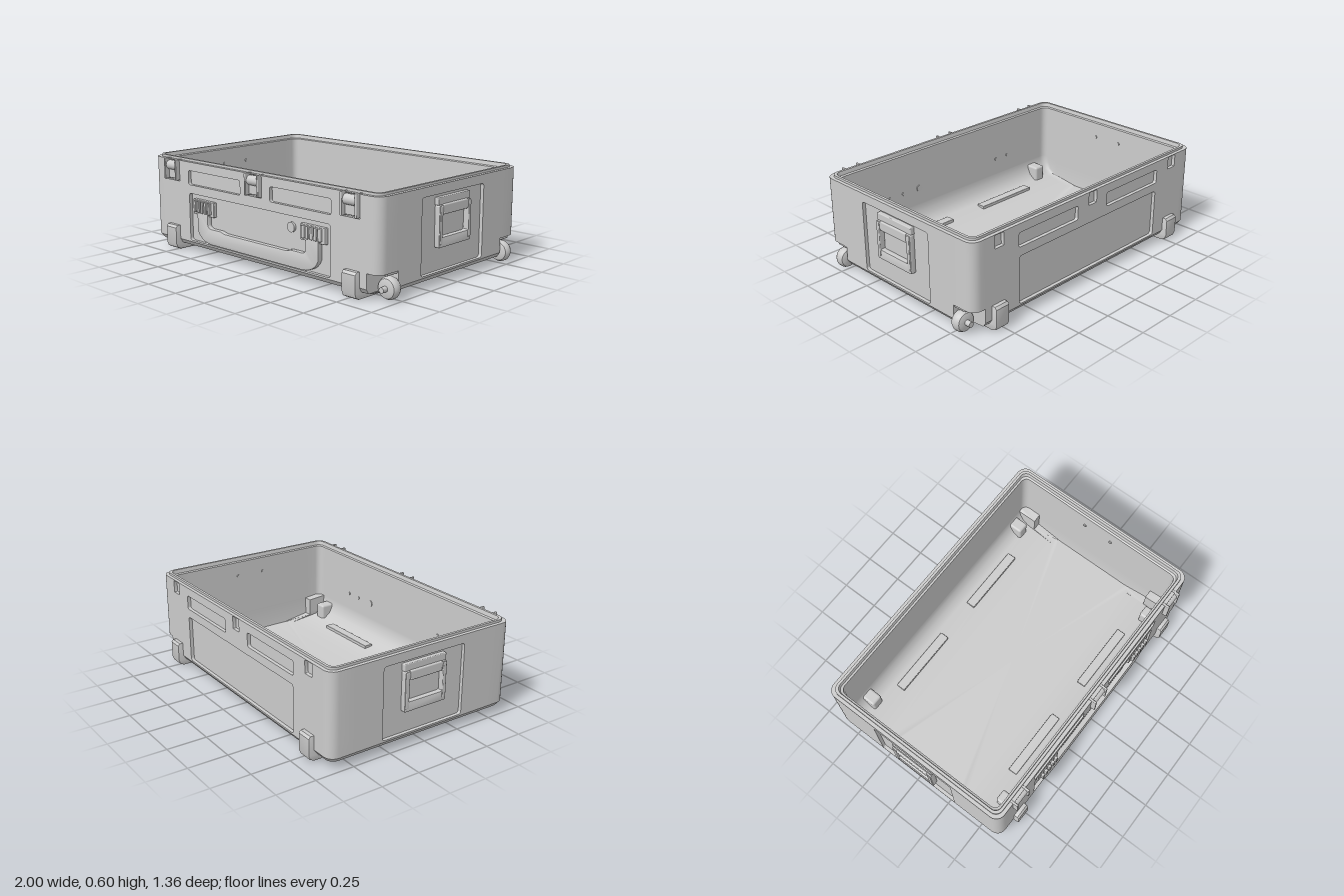
import * as THREE from 'three';
import { toCreasedNormals } from 'three/addons/utils/BufferGeometryUtils.js';
import { RoundedBoxGeometry } from 'three/addons/geometries/RoundedBoxGeometry.js';

const mat = new THREE.MeshStandardMaterial({ color: 0xcccccc });
const HX = 0.97, HZ = 0.645, XC = -0.01; // half sizes and x centre of the shell
const RECESS = 0.022;

function add(parent, name, geo, x = 0, y = 0, z = 0) {
  const m = new THREE.Mesh(geo, mat);
  m.name = name;
  m.position.set(x, y, z);
  parent.add(m);
  return m;
}

// Box given by its limits, with slightly rounded edges
function block(parent, name, x0, x1, y0, y1, z0, z1, r = 0.005) {
  const g = new RoundedBoxGeometry(x1 - x0, y1 - y0, z1 - z0, 2, r);
  return add(parent, name, g, (x0 + x1) / 2, (y0 + y1) / 2, (z0 + z1) / 2);
}

function roundRect(Type, x0, x1, y0, y1, r) {
  const p = new Type();
  p.moveTo(x0 + r, y0).lineTo(x1 - r, y0).quadraticCurveTo(x1, y0, x1, y0 + r);
  p.lineTo(x1, y1 - r).quadraticCurveTo(x1, y1, x1 - r, y1);
  p.lineTo(x0 + r, y1).quadraticCurveTo(x0, y1, x0, y1 - r);
  p.lineTo(x0, y0 + r).quadraticCurveTo(x0, y0, x0 + r, y0);
  return p;
}

function extrude(shape, depth, bevel = 0) {
  const g = new THREE.ExtrudeGeometry(shape, {
    depth, curveSegments: 6, bevelEnabled: bevel > 0, bevelSize: bevel, bevelThickness: bevel, bevelOffset: -bevel, bevelSegments: 2,
  });
  return toCreasedNormals(g, 0.6);
}

// One horizontal outline: four corners of nine points each.
// With notch set, the two wheel corners are cut square.
function ring({ ix, iz = ix, y, notch, inner, centre }) {
  const hx = HX - ix, hz = HZ - iz, r = 0.06 - Math.min(ix, 0.04) * 0.5;
  const xe = inner ? 0.855 : 0.88, ze = inner ? 0.46 : 0.485;
  const pts = [];
  [[1, 1], [-1, 1], [-1, -1], [1, -1]].forEach(([sx, sz]) => {
    const cut = notch && sx > 0;
    let c = [[hx, Math.min(ze, hz - r)]];
    for (let i = 0; i <= 6; i++) {
      const a = (i / 6) * Math.PI / 2;
      c.push(cut ? [xe, ze] : [hx - r + r * Math.cos(a), hz - r + r * Math.sin(a)]);
    }
    c.push([Math.min(xe, hx - r), hz]);
    if (sx * sz < 0) c.reverse();
    c.forEach(([x, z]) => pts.push(centre ? new THREE.Vector3(XC, y, 0) : new THREE.Vector3(XC + sx * x, y, sz * z)));
  });
  return pts;
}

// Shell loft from under the base, over the rim and down to the floor.
// Bands marked open leave the flat sides for the recessed walls.
function shellGeometry() {
  const profile = [
    { centre: true, ix: 0, y: 0.03 },
    { ix: 0.06, y: 0.03, notch: true },
    { ix: 0.02, y: 0.042, notch: true },
    { ix: 0, y: 0.07, notch: true, open: true },
    { ix: 0, y: 0.16, notch: true, open: true },
    { ix: 0, y: 0.16, open: true },
    { ix: 0, y: 0.585 },
    { ix: 0.022, y: 0.585 },
    { ix: 0.022, y: 0.6 },
    { ix: 0.038, y: 0.6 },
    { ix: 0.043, y: 0.575 },
    { ix: 0.055, y: 0.57, inner: true },
    { ix: 0.058, y: 0.2, inner: true },
    { ix: 0.058, y: 0.19, inner: true, notch: true },
    { ix: 0.058, iz: 0.066, y: 0.15, inner: true, notch: true },
    { ix: 0.06, iz: 0.09, y: 0.105, inner: true, notch: true },
    { ix: 0.062, iz: 0.13, y: 0.075, inner: true, notch: true },
    { ix: 0.065, iz: 0.335, y: 0.045, inner: true },
    { centre: true, ix: 0, y: 0.045 },
  ];
  const rings = profile.map(ring), pos = [];
  const tri = (a, b, c) => {
    const n = b.clone().sub(a).cross(c.clone().sub(a));
    if (n.length() > 1e-9) [a, b, c].forEach((p) => pos.push(p.x, p.y, p.z));
  };
  for (let k = 0; k < rings.length - 1; k++) {
    for (let i = 0; i < 36; i++) {
      if (profile[k].open && i % 9 === 8) continue;
      const j = (i + 1) % 36, A = rings[k], B = rings[k + 1];
      tri(A[i], B[i], A[j]);
      tri(A[j], B[i], B[j]);
    }
  }
  const g = new THREE.BufferGeometry();
  g.setAttribute('position', new THREE.Float32BufferAttribute(pos, 3));
  return toCreasedNormals(g, 0.6);
}

// Flat outer wall with recesses, local z pointing outwards
function wall(parent, name, angle, half, out, recesses) {
  const g = new THREE.Group();
  g.name = name;
  g.position.x = XC;
  g.rotation.y = angle;
  const s = new THREE.Shape();
  s.moveTo(-half, 0.07).lineTo(half, 0.07).lineTo(half, 0.585).lineTo(-half, 0.585).closePath();
  recesses.forEach((r) => s.holes.push(roundRect(THREE.Path, ...r)));
  add(g, name + 'Skin', extrude(s, RECESS), 0, 0, out - RECESS);
  add(g, name + 'RecessFloor', new THREE.BoxGeometry(half * 2, 0.515, 0.008), 0, 0.3275, out - RECESS - 0.004);
  parent.add(g);
  return g;
}

function latch(parent, u) {
  for (const s of [-1, 1]) block(parent, 'latchCheek', u + s * 0.054 - 0.007, u + s * 0.054 + 0.007, 0.455, 0.59, 0.62, 0.675);
  const barrel = add(parent, 'latchBarrel', new THREE.CylinderGeometry(0.03, 0.03, 0.1, 20), u, 0.545, 0.637);
  barrel.rotation.z = Math.PI / 2;
  block(parent, 'latchPlate', u - 0.05, u + 0.05, 0.46, 0.54, 0.62, 0.645);
}

function sideHandle(parent) {
  const frame = roundRect(THREE.Shape, -0.15, 0.15, 0.22, 0.465, 0.01);
  frame.holes.push(roundRect(THREE.Path, -0.122, 0.122, 0.28, 0.42, 0.012));
  add(parent, 'sideHandleFrame', extrude(frame, 0.026, 0.005), 0, 0, HX - 0.017);
  block(parent, 'sideHandleGrip', -0.115, 0.115, 0.41, 0.47, 0.945, 0.988, 0.008);
  block(parent, 'sideHandleHinge', -0.15, 0.15, 0.465, 0.51, 0.945, 0.975);
  for (const s of [-1, 1]) block(parent, 'sideHandleArm', s * 0.133 - 0.013, s * 0.133 + 0.013, 0.24, 0.46, 0.95, 0.988);
}

function frontHandle(parent) {
  // U-shaped carrying handle
  const s = new THREE.Shape();
  s.moveTo(-0.53, 0.3).lineTo(-0.53, 0.16).quadraticCurveTo(-0.5, 0.09, -0.4, 0.085);
  s.lineTo(0.4, 0.085).quadraticCurveTo(0.5, 0.09, 0.53, 0.16).lineTo(0.53, 0.3).lineTo(0.43, 0.3);
  s.lineTo(0.43, 0.21).quadraticCurveTo(0.425, 0.19, 0.4, 0.187).lineTo(0.31, 0.187).lineTo(0.27, 0.177);
  s.lineTo(-0.27, 0.177).lineTo(-0.31, 0.187).lineTo(-0.4, 0.187).quadraticCurveTo(-0.425, 0.19, -0.43, 0.21);
  s.lineTo(-0.43, 0.3).closePath();
  add(parent, 'carryHandle', extrude(s, 0.022, 0.006), 0, 0, 0.627);
  // Ribbed pivots
  for (const m of [-1, 1]) {
    block(parent, 'handlePivot', m * 0.478 - 0.1, m * 0.478 + 0.1, 0.26, 0.355, 0.615, 0.646);
    for (let i = -2; i <= 2; i++) {
      const u = m * 0.478 + i * 0.033;
      block(parent, 'pivotRib', u - 0.01, u + 0.01, 0.275, 0.35, 0.63, 0.664);
    }
  }
  const valve = add(parent, 'valve', new THREE.CylinderGeometry(0.03, 0.03, 0.02, 24), 0.295, 0.315, 0.628);
  valve.rotation.x = Math.PI / 2;
}

export function createModel() {
  const model = new THREE.Group();
  model.name = 'openCase';
  add(model, 'shell', shellGeometry());

  // Four walls with their recesses
  const panel = [-0.615, 0.615, 0.08, 0.385, 0.02];
  const slots = [[-0.62, -0.13, 0.44, 0.53, 0.015], [0.13, 0.62, 0.44, 0.53, 0.015]];
  const notches = (w, y) => [-0.77, 0, 0.77].map((u) => [u - w, u + w, y, 0.58, 0.006]);
  const front = wall(model, 'frontWall', 0, 0.88, HZ, [panel, ...slots, ...notches(0.062, 0.45)]);
  wall(model, 'backWall', Math.PI, 0.88, HZ, [panel, ...slots, ...notches(0.035, 0.5)]);
  for (const s of [-1, 1]) sideHandle(wall(model, s > 0 ? 'wheelEnd' : 'plainEnd', s * Math.PI / 2, 0.485, HX, [[-0.29, 0.29, 0.08, 0.53, 0.02]]));
  [-0.77, 0, 0.77].forEach((u) => latch(front, u));
  frontHandle(front);

  // Raised middle of the underside
  const keel = new THREE.Shape();
  keel.moveTo(-0.3, 0.032).lineTo(-0.22, 0.005).lineTo(0.22, 0.005).lineTo(0.3, 0.032).closePath();
  add(model, 'keel', extrude(keel, 1.52), -0.9).rotation.y = Math.PI / 2;

  // Foot profile wraps from the wall to the underside
  const foot = new THREE.Shape();
  [[0.63, 0.16], [0.63, 0.05], [0.42, 0.04], [0.42, 0.012], [0.44, 0.002], [0.645, 0.002], [0.67, 0.015], [0.68, 0.04], [0.68, 0.145], [0.668, 0.16]]
    .forEach(([z, y], i) => (i ? foot.lineTo(-z, y) : foot.moveTo(-z, y)));
  const footGeo = extrude(foot, 0.09, 0.005);

  // Lathed wheel tyre
  const tyre = [[0, -0.035], [0.04, -0.035], [0.056, -0.029], [0.065, -0.012], [0.065, 0.012], [0.056, 0.029], [0.04, 0.035], [0, 0.035]]
    .map(([r, y]) => new THREE.Vector2(r, y));
  const wheelGeo = toCreasedNormals(new THREE.LatheGeometry(tyre, 32), 0.7);

  for (const side of [1, -1]) {
    const end = new THREE.Group();
    end.name = side > 0 ? 'frontUnderparts' : 'backUnderparts';
    model.add(end);
    for (const x of [-0.78, 0.77]) {
      const f = add(end, 'foot', footGeo, x - side * 0.045, 0, 0);
      f.rotation.y = side * Math.PI / 2;
      block(end, 'footHousing', x - 0.04, x + 0.04, 0.05, 0.17, side * 0.545 - 0.05, side * 0.545 + 0.05, 0.015);
    }
    // Rails under the base and their ridges on the floor
    for (const x of [-0.375, 0.36]) {
      block(end, 'rail', x - 0.23, x + 0.23, 0, 0.035, side * 0.46 - 0.035, side * 0.46 + 0.035);
      block(end, 'floorRidge', x - 0.23, x + 0.23, 0.05, 0.083, side * 0.46 - 0.03, side * 0.46 + 0.03);
    }
    add(end, 'wheel', wheelGeo, 0.935, 0.07, side * 0.53).rotation.x = Math.PI / 2;
    add(end, 'axle', new THREE.CylinderGeometry(0.017, 0.017, 0.12, 16), 0.935, 0.07, side * 0.54).rotation.x = Math.PI / 2;
    block(end, 'wheelArch', 0.865, 0.955, 0.145, 0.165, side * 0.53 - 0.045, side * 0.53 + 0.045);
  }

  // Fastener heads on the inside
  for (const x of [-0.53, -0.42, 0.42, 0.53, 0.285]) {
    const r = x === 0.285 ? 0.022 : 0.011;
    add(model, 'fastener', new THREE.CylinderGeometry(r, r, 0.012, 12), x, 0.31, 0.588).rotation.x = Math.PI / 2;
  }
  for (const s of [-1, 1]) for (const z of [-0.1, 0.1]) {
    add(model, 'fastener', new THREE.CylinderGeometry(0.011, 0.011, 0.012, 12), XC + s * 0.913, 0.47, z).rotation.z = Math.PI / 2;
  }
  return model;
}
